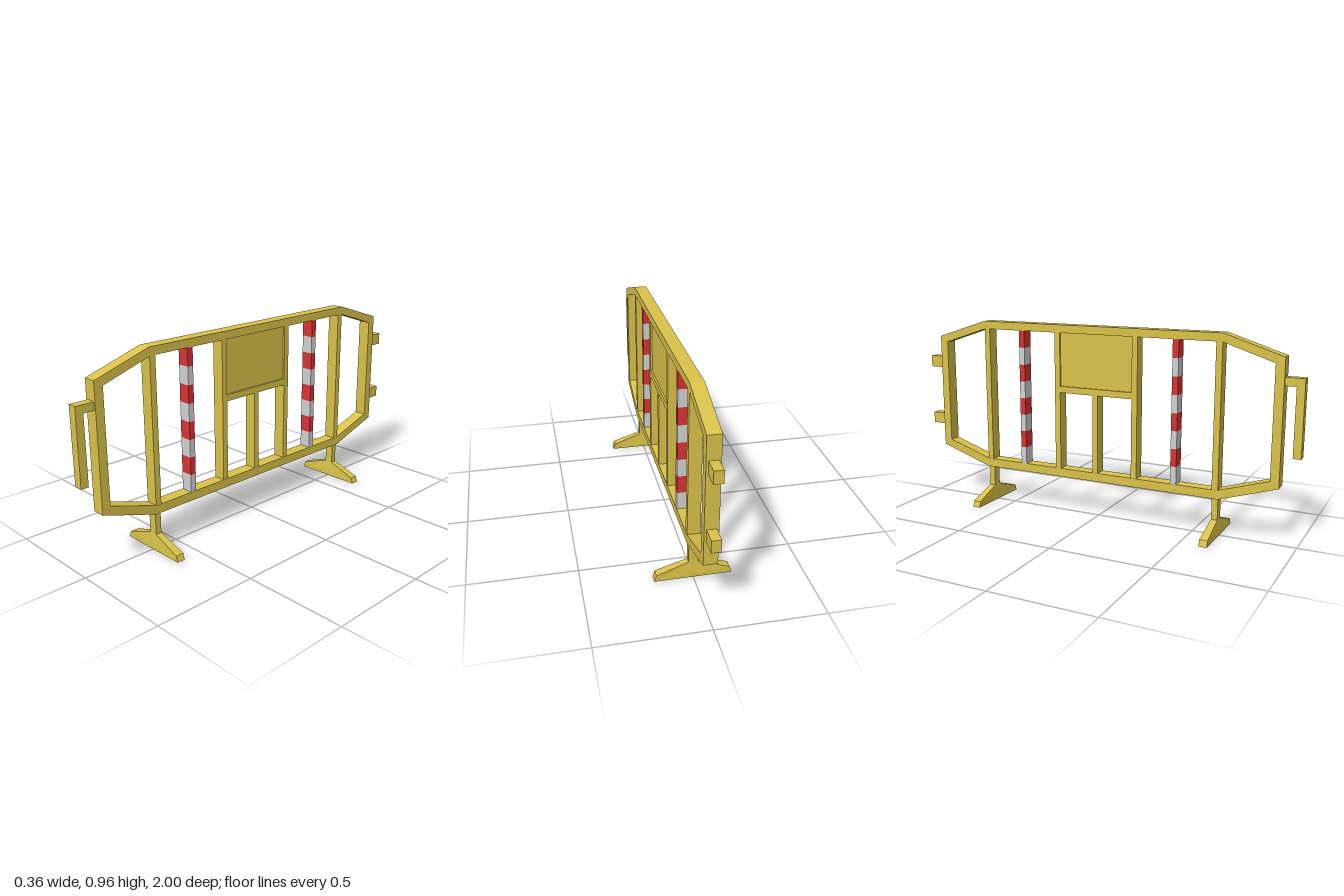
import * as THREE from 'three';

const yellow = new THREE.MeshStandardMaterial({ name: 'barrierYellow', color: 0xd9c24a });
const red = new THREE.MeshStandardMaterial({ name: 'stripeRed', color: 0xd93333 });
const white = new THREE.MeshStandardMaterial({ name: 'stripeWhite', color: 0xd2d2d2 });

const MID = -0.0065; // centre of the frame along z
const TOP = 0.918, BOTTOM = 0.228; // inner opening of the frame

// Symmetric outline (half widths and heights) as a closed list of points
const mirrored = (half) => [
  ...half.map(([x, y]) => new THREE.Vector2(x, y)),
  ...half.slice().reverse().map(([x, y]) => new THREE.Vector2(-x, y)),
];

export function createModel() {
  const model = new THREE.Group();
  model.name = 'crowdBarrier';

  const add = (name, geometry, material = yellow) => {
    const mesh = new THREE.Mesh(geometry, material);
    mesh.name = name;
    model.add(mesh);
    return mesh;
  };
  // Box centred on x, given by its z and y ranges and its width
  const box = (name, z0, z1, y0, y1, width, material) =>
    add(name, new THREE.BoxGeometry(width, y1 - y0, z1 - z0), material)
      .position.set(0, (y0 + y1) / 2, (z0 + z1) / 2);

  // Eight-sided outer frame
  const frame = new THREE.Shape(mirrored([[0.638, 0.185], [0.918, 0.275], [0.918, 0.867], [0.638, 0.957]]));
  frame.holes.push(new THREE.Path(mirrored([[0.632, BOTTOM], [0.876, 0.305], [0.876, 0.838], [0.632, TOP]])));
  const frameGeo = new THREE.ExtrudeGeometry(frame, { depth: 0.062, bevelEnabled: false });
  frameGeo.translate(MID, 0, -0.031).rotateY(-Math.PI / 2);
  add('frame', frameGeo);

  // Foot profile, thicker along its lower edge
  const foot = new THREE.Shape(mirrored([[0.178, 0], [0.168, 0.03], [0.022, 0.08]]));
  const footGeo = new THREE.ExtrudeGeometry(foot, { depth: 0.04, bevelEnabled: false }).translate(0, 0, -0.02);
  const p = footGeo.attributes.position;
  for (let i = 0; i < p.count; i++) {
    if (p.getY(i) > 0.05) p.setZ(i, Math.sign(p.getZ(i)) * 0.015);
  }
  footGeo.computeVertexNormals();

  for (const side of [1, -1]) {
    const post = (name, z, half) =>
      box(name, MID + side * z - half, MID + side * z + half, BOTTOM, TOP, 0.06);

    post('outerPost', 0.621, 0.015);
    post('panelPost', 0.209, 0.0145);

    // Leg and foot
    const legZ = MID + side * 0.621;
    box('leg', legZ - 0.015, legZ + 0.015, 0.08, 0.186, 0.043);
    add('foot', footGeo).position.z = legZ;

    // Striped post, red at the top and white at the bottom
    const z = MID + side * 0.414, step = (TOP - BOTTOM) / 8;
    for (let i = 0; i < 8; i++) {
      box('stripe', z - 0.015, z + 0.015, BOTTOM + i * step, BOTTOM + (i + 1) * step, 0.06, i % 2 ? red : white);
    }
  }

  // Sign panel, its lower rail and the short post below it
  box('signPanel', MID - 0.195, MID + 0.195, 0.652, TOP, 0.042);
  box('panelRail', MID - 0.195, MID + 0.195, 0.62, 0.652, 0.06);
  box('middlePost', MID - 0.0135, MID + 0.0135, BOTTOM, 0.62, 0.06);

  // Coupling hook at the front end
  box('hookArm', 0.911, 0.963, 0.74, 0.778, 0.043);
  box('hookBar', 0.963, 1, 0.419, 0.778, 0.043);

  // Coupling lugs at the back end
  box('upperLug', -1, -0.924, 0.698, 0.757, 0.042);
  box('lowerLug', -1, -0.924, 0.388, 0.446, 0.042);

  return model;
}
